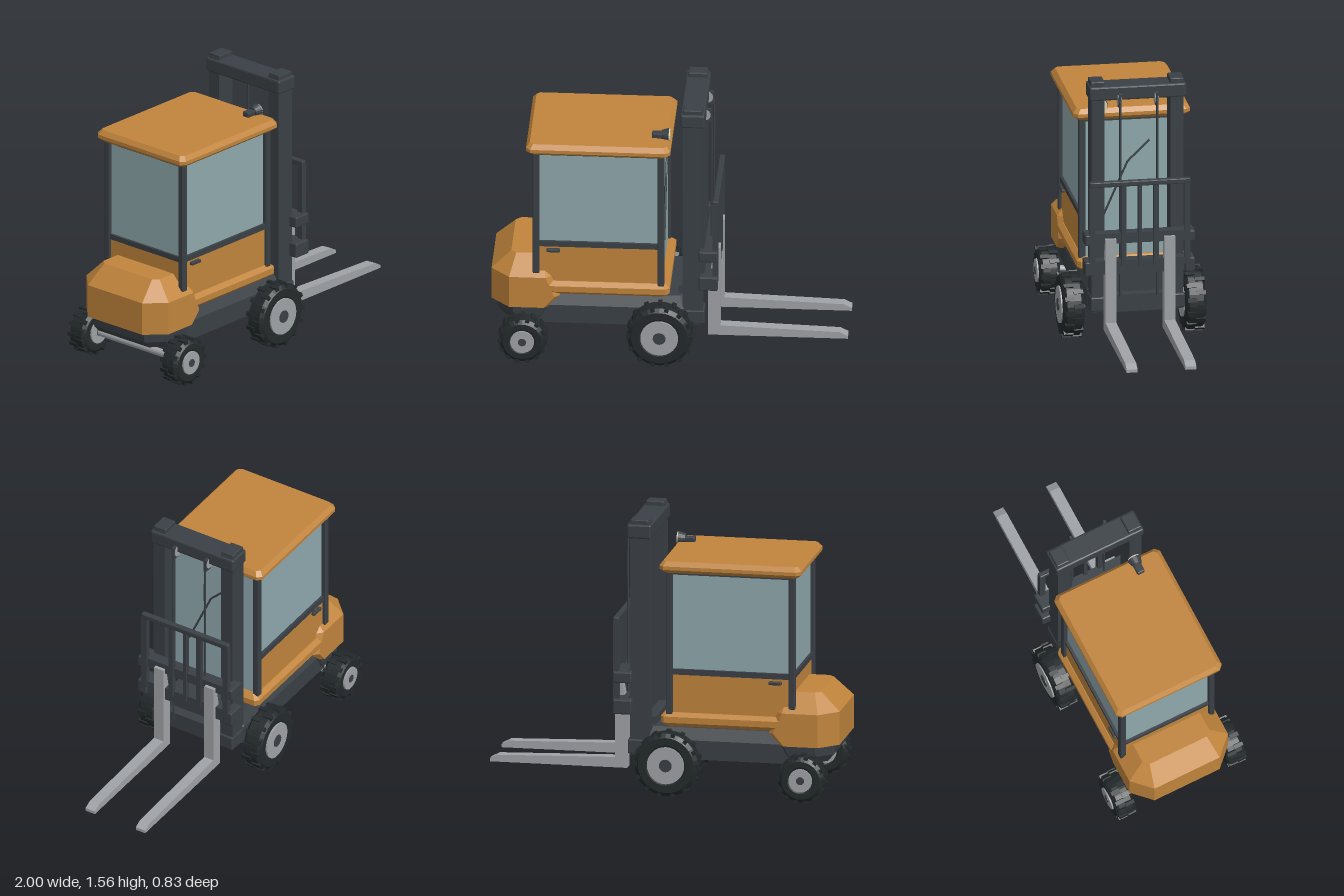
import * as THREE from 'three';
import { RoundedBoxGeometry } from 'three/addons/geometries/RoundedBoxGeometry.js';

const mat = (color) => new THREE.MeshStandardMaterial({ color, flatShading: true });
const ORANGE = mat(0xc0843c), DARK = mat(0x3a4045), TYRE = mat(0x23292b);
const STEEL = mat(0x9fa2a6), GLASS = mat(0x8fa8ac), LENS = mat(0xd8d0b0);

export function createModel() {
  const root = new THREE.Group();

  const add = (name, geometry, material, parent = root) => {
    const mesh = new THREE.Mesh(geometry, material);
    mesh.name = name;
    parent.add(mesh);
    return mesh;
  };

  // Box given by its limits on each axis, optionally with softened edges
  const box = (name, material, [x0, x1], [y0, y1], [z0, z1], r = 0) => {
    const s = [x1 - x0, y1 - y0, z1 - z0];
    const g = r ? new RoundedBoxGeometry(...s, 1, r) : new THREE.BoxGeometry(...s);
    g.translate((x0 + x1) / 2, (y0 + y1) / 2, (z0 + z1) / 2);
    return add(name, g, material);
  };

  // Solid through chamfered rectangles: level = [y, rear x, front x, half width, rear chamfer, front chamfer]
  const loft = (name, material, levels) => {
    const rings = levels.map(([y, x0, x1, w, r, f]) => [
      [x1, w - f], [x1, f - w], [x1 - f, -w], [x0 + r, -w],
      [x0, r - w], [x0, w - r], [x0 + r, w], [x1 - f, w],
    ].map(([x, z]) => [x, y, z]));
    const pos = [];
    const tri = (...p) => p.forEach((v) => pos.push(...v));
    for (let i = 0; i < rings.length - 1; i++) {
      for (let k = 0; k < 8; k++) {
        const n = (k + 1) % 8, a = rings[i], b = rings[i + 1];
        tri(a[k], a[n], b[n]);
        tri(a[k], b[n], b[k]);
      }
    }
    const bottom = rings[0], top = rings[rings.length - 1];
    for (let k = 1; k < 7; k++) {
      tri(bottom[0], bottom[k + 1], bottom[k]);
      tri(top[0], top[k], top[k + 1]);
    }
    const g = new THREE.BufferGeometry();
    g.setAttribute('position', new THREE.Float32BufferAttribute(pos, 3));
    g.computeVertexNormals();
    return add(name, g, material);
  };

  const cylZ = (r, len, sides = 24) => new THREE.CylinderGeometry(r, r, len, sides).rotateX(Math.PI / 2);

  // Chassis and rear bumper
  loft('chassis', DARK, [
    [0.2, -0.78, 0.1, 0.27, 0.02, 0.02],
    [0.31, -0.78, 0.1, 0.27, 0.02, 0.02],
    [0.375, -0.72, 0.08, 0.235, 0.02, 0.02],
  ]);
  loft('rearBumper', DARK, [
    [0.21, -0.93, -0.72, 0.27, 0.08, 0.02],
    [0.25, -0.965, -0.7, 0.28, 0.09, 0.02],
    [0.34, -0.975, -0.66, 0.29, 0.1, 0.02],
  ]);

  // Counterweight
  loft('counterweight', ORANGE, [
    [0.31, -1, -0.68, 0.31, 0.105, 0.02],
    [0.38, -1, -0.61, 0.31, 0.105, 0.03],
    [0.5, -1, -0.66, 0.31, 0.105, 0.03],
    [0.605, -0.89, -0.68, 0.21, 0.03, 0.03],
  ]);

  // Cab
  box('cabGlass', GLASS, [-0.74, -0.04], [0.45, 1.27], [-0.272, 0.272]);
  box('cabLowerPanel', ORANGE, [-0.745, -0.06], [0.4, 0.7], [-0.28, 0.28]);
  loft('cabSkirt', ORANGE, [
    [0.39, -0.67, -0.02, 0.28, 0.02, 0.02],
    [0.415, -0.69, 0.005, 0.31, 0.02, 0.02],
    [0.45, -0.69, 0.005, 0.31, 0.02, 0.02],
    [0.472, -0.67, -0.02, 0.285, 0.02, 0.02],
  ]);
  loft('roof', ORANGE, [
    [1.28, -0.775, -0.015, 0.305, 0.02, 0.02],
    [1.302, -0.8, 0.01, 0.332, 0.025, 0.025],
    [1.322, -0.8, 0.01, 0.332, 0.025, 0.025],
    [1.348, -0.78, -0.01, 0.31, 0.02, 0.02],
  ]);
  box('roofFrame', DARK, [-0.75, -0.03], [1.265, 1.285], [-0.28, 0.28]);
  box('rearWaistRail', DARK, [-0.755, -0.735], [0.69, 0.72], [-0.28, 0.28]);
  for (const s of [-1, 1]) {
    const side = (a, b) => (s > 0 ? [a, b] : [-b, -a]);
    box('rearPillar', DARK, [-0.763, -0.725], [0.52, 1.285], side(0.26, 0.297), 0.006);
    box('frontPillar', DARK, [-0.062, -0.025], [0.46, 1.285], side(0.26, 0.297), 0.006);
    box('sideWaistRail', DARK, [-0.74, -0.04], [0.69, 0.722], side(0.26, 0.288));
    box('doorHandle', DARK, [-0.685, -0.61], [0.657, 0.677], side(0.275, 0.3), 0.006);
  }

  // Windscreen wiper
  const wiper = new THREE.CurvePath();
  const wiperPoints = [[0.69, 0.165], [1.02, 0.02], [1.14, -0.105]].map(([y, z]) => new THREE.Vector3(-0.032, y, z));
  for (let i = 0; i < 2; i++) wiper.add(new THREE.LineCurve3(wiperPoints[i], wiperPoints[i + 1]));
  add('wiper', new THREE.TubeGeometry(wiper, 24, 0.006, 6), DARK);

  // Work lamp on the roof
  box('lampBracket', DARK, [-0.1, -0.035], [1.345, 1.377], [0.15, 0.195], 0.006);
  add('lampHousing', new THREE.CylinderGeometry(0.04, 0.028, 0.04, 20).rotateZ(-Math.PI / 2), DARK).position.set(-0.025, 1.362, 0.175);
  add('lampLens', new THREE.CylinderGeometry(0.036, 0.036, 0.008, 20).rotateZ(-Math.PI / 2), LENS).position.set(-0.002, 1.362, 0.175);

  // Mast
  for (const s of [-1, 1]) {
    const side = (a, b) => (s > 0 ? [a, b] : [-b, -a]);
    box('mastColumn', DARK, [0.075, 0.188], [0.21, 1.55], side(0.187, 0.262));
    box('mastCap', DARK, [0.08, 0.185], [1.53, 1.567], side(0.185, 0.265), 0.006);
    box('mastFoot', DARK, [0.08, 0.2], [0.215, 0.3], side(0.16, 0.268), 0.008);
    add('chainPulley', cylZ(0.034, 0.02), STEEL).position.set(0.19, 1.463, s * 0.105);
    // Lift chain over the pulley
    const chain = new THREE.CatmullRomCurve3([
      [0.17, 1.485], [0.2, 1.5], [0.222, 1.48], [0.228, 1.42], [0.228, 0.9], [0.228, 0.31],
    ].map(([x, y]) => new THREE.Vector3(x, y, s * 0.105)), false, 'centripetal');
    add('liftChain', new THREE.TubeGeometry(chain, 40, 0.007, 6), DARK);
    box('chainAnchor', DARK, [0.18, 0.232], [1.42, 1.5], side(0.099, 0.113));
  }
  box('mastTopBeam', DARK, [0.065, 0.202], [1.458, 1.54], [-0.275, 0.275], 0.01);
  box('mastLowerBeam', DARK, [0.08, 0.17], [0.2, 0.3], [-0.2, 0.2]);
  box('mastMount', DARK, [0.05, 0.11], [0.24, 0.42], [-0.2, 0.2]);

  // Carriage
  const carriageBar = (y0, y1) => {
    box('carriageBar', DARK, [0.2, 0.265], [y0 + 0.005, y1], [-0.3, 0.3]);
    for (const s of [-1, 1]) {
      const z = [s * 0.255, s * 0.312].sort((a, b) => a - b);
      box('carriageEnd', DARK, [0.17, 0.277], [y0, y1], z, 0.008);
    }
  };
  carriageBar(0.63, 0.695);
  carriageBar(0.45, 0.535);

  // Load backrest
  box('backrestTop', DARK, [0.247, 0.28], [0.972, 1.004], [-0.287, 0.287], 0.006);
  for (const [z, w] of [[-0.27, 0.034], [-0.092, 0.028], [0, 0.02], [0.092, 0.028], [0.27, 0.034]]) {
    box('backrestBar', DARK, [0.247, 0.278], [0.5, 0.985], [z - w / 2, z + w / 2]);
  }

  // Forks
  const forkShape = new THREE.Shape([
    [0.216, 0.115], [1, 0.115], [1, 0.133], [0.955, 0.155], [0.285, 0.175],
    [0.285, 0.667], [0.255, 0.667], [0.216, 0.45],
  ].map(([x, y]) => new THREE.Vector2(x, y)));
  for (const s of [-1, 1]) {
    add('fork', new THREE.ExtrudeGeometry(forkShape, { depth: 0.062, bevelEnabled: false }), STEEL)
      .position.z = s * 0.167 - 0.031;
  }

  // Wheels with tread blocks, hubs and axles
  const wheel = (name, x, r, hub, s) => {
    const g = new THREE.Group();
    g.name = name;
    g.position.set(x, r + 0.003, s * 0.347);
    if (s < 0) g.rotation.y = Math.PI;
    root.add(g);
    const core = r - 0.007;
    const profile = [[hub * 0.9, -0.05], [hub + 0.01, -0.058], [core - 0.022, -0.058], [core, -0.04],
      [core, 0.04], [core - 0.022, 0.058], [hub + 0.01, 0.058], [hub * 0.9, 0.05]]
      .map(([a, b]) => new THREE.Vector2(a, b));
    add('tyre', new THREE.LatheGeometry(profile, 32).rotateX(Math.PI / 2), TYRE, g);
    const lugs = 14;
    for (let i = 0; i < lugs * 2; i++) {
      const a = (i / lugs) * Math.PI;
      const lug = add('treadBlock', new THREE.BoxGeometry(0.024, r * 0.13, 0.054), TYRE, g);
      lug.position.set(Math.sin(a) * (r - r * 0.065), Math.cos(a) * (r - r * 0.065), i % 2 ? 0.026 : -0.026);
      lug.rotation.z = -a;
    }
    add('hub', cylZ(hub, 0.128, 32), STEEL, g);
    add('hubCap', cylZ(hub * 0.34, 0.136, 20), DARK, g);
  };
  for (const [label, x, r, hub] of [['front', -0.045, 0.188, 0.106], ['rear', -0.815, 0.138, 0.067]]) {
    for (const s of [-1, 1]) wheel(label + 'Wheel', x, r, hub, s);
    add(label + 'Axle', cylZ(0.022, 0.6, 16), STEEL).position.set(x, r + 0.003, 0);
  }

  return root;
}
